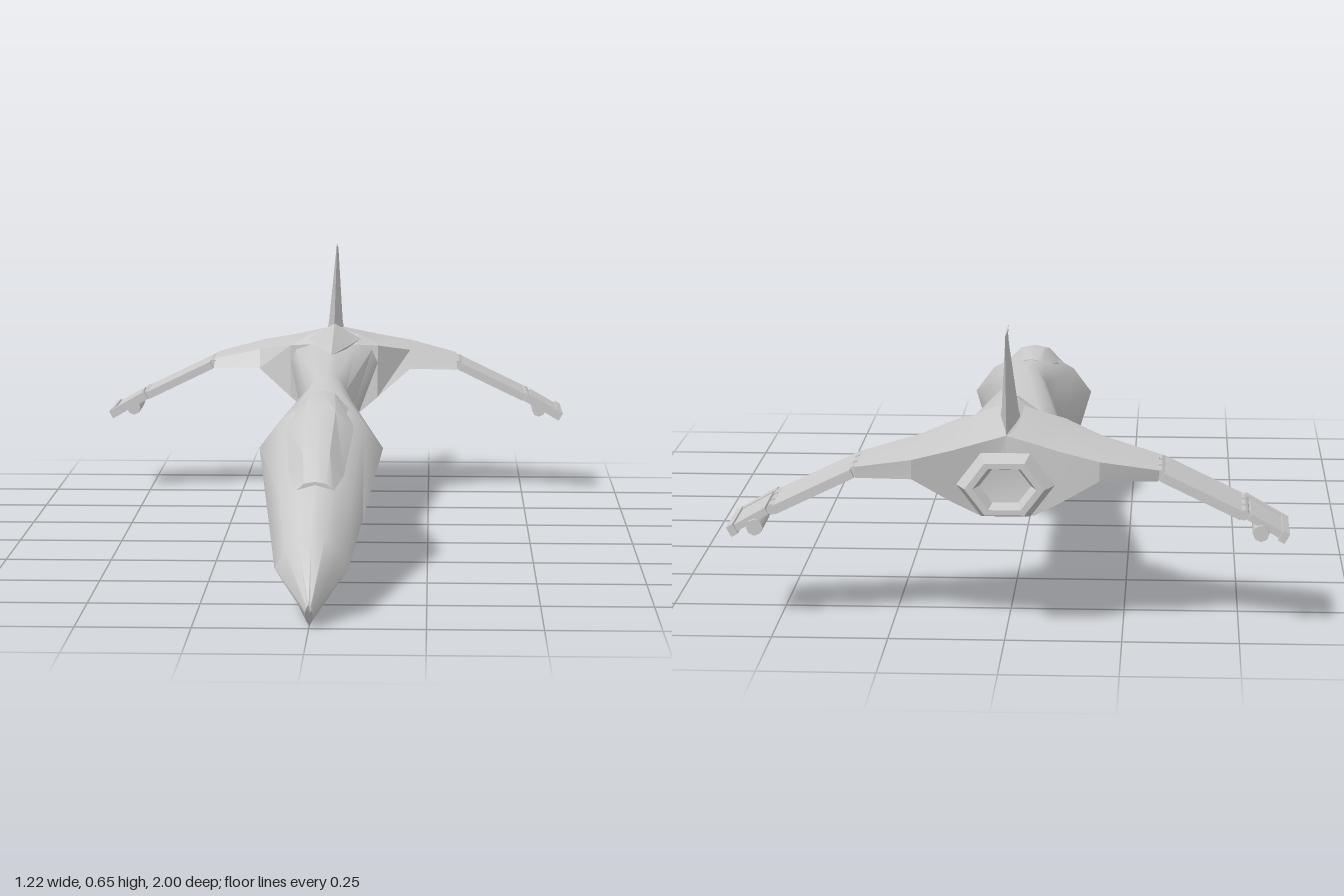
import * as THREE from 'three';
import { toCreasedNormals } from 'three/addons/utils/BufferGeometryUtils.js';

const material = new THREE.MeshStandardMaterial({ color: 0xcccccc, side: THREE.DoubleSide });

function addMesh(parent, name, geometry) {
  const mesh = new THREE.Mesh(geometry, material);
  mesh.name = name;
  parent.add(mesh);
  return mesh;
}

// Skin a list of equal-length closed rings of [x, y, z] points and cap both ends.
function loft(rings, crease) {
  const n = rings[0].length, last = rings.length - 1;
  const points = rings.flat(), index = [];
  for (let i = 0; i < last; i++) {
    for (let j = 0; j < n; j++) {
      const a = i * n + j, b = i * n + (j + 1) % n;
      index.push(a, b, a + n, b, b + n, a + n);
    }
  }
  for (const i of [0, last]) {
    const centre = [0, 1, 2].map(k => rings[i].reduce((s, p) => s + p[k], 0) / n);
    const c = points.push(centre) - 1;
    for (let j = 0; j < n; j++) {
      const a = i * n + j, b = i * n + (j + 1) % n;
      index.push(c, ...(i === 0 ? [b, a] : [a, b]));
    }
  }
  const geometry = new THREE.BufferGeometry();
  geometry.setAttribute('position', new THREE.Float32BufferAttribute(points.flat(), 3));
  geometry.setIndex(index);
  return toCreasedNormals(geometry, crease);
}

// Mirror half a cross-section (top centre to bottom centre) into a full ring at z.
function ring(z, half) {
  const right = half.map(([x, y, dz = 0]) => [x, y, z + dz]);
  const left = right.slice(1, -1).reverse().map(([x, y, zz]) => [-x, y, zz]);
  return [...right, ...left];
}

export function createModel() {
  const model = new THREE.Group();
  model.name = 'spacecraft';

  // Long fuselage, from the pointed nose to the waist and tail
  addMesh(model, 'fuselage', loft([
    ring(1.0, [[0, 0.055], [0.004, 0.05], [0.007, 0.042], [0.008, 0.03, -0.012], [0.005, 0.012, -0.025], [0, 0.003, -0.03]]),
    ring(0.86, [[0, 0.18], [0.03, 0.172], [0.058, 0.145], [0.08, 0.105], [0.042, 0.052], [0, 0.015]]),
    ring(0.62, [[0, 0.27], [0.042, 0.258], [0.08, 0.22], [0.106, 0.172], [0.066, 0.085], [0, 0.038]]),
    ring(0.28, [[0, 0.375], [0.055, 0.365], [0.1, 0.34], [0.145, 0.28], [0.1, 0.13], [0, 0.068]]),
    ring(0.07, [[0, 0.397], [0.035, 0.391], [0.067, 0.36], [0.092, 0.285], [0.066, 0.15], [0, 0.09]]),
    ring(-0.06, [[0, 0.41], [0.026, 0.405], [0.048, 0.37], [0.06, 0.305], [0.044, 0.22], [0, 0.18]]),
    ring(-0.64, [[0, 0.415], [0.06, 0.413], [0.1, 0.4], [0.115, 0.365], [0.085, 0.32], [0, 0.3]]),
  ], 1.0));

  // Faceted canopy set into the upper nose
  addMesh(model, 'canopy', loft([
    ring(0.66, [[0, 0.262], [0.025, 0.258], [0.042, 0.242], [0, 0.22]]),
    ring(0.57, [[0, 0.32], [0.03, 0.312], [0.062, 0.262], [0, 0.24]]),
    ring(0.35, [[0, 0.385], [0.036, 0.378], [0.078, 0.335], [0, 0.3]]),
    ring(0.22, [[0, 0.406], [0.03, 0.4], [0.064, 0.364], [0, 0.34]]),
    ring(0.12, [[0, 0.393], [0.015, 0.391], [0.03, 0.385], [0, 0.37]]),
  ], 0.6));

  // Spine rising from the rear deck into the fin
  addMesh(model, 'spine', loft([
    ring(-0.43, [[0, 0.416], [0.004, 0.412], [0, 0.4]]),
    ring(-0.67, [[0, 0.466], [0.07, 0.425], [0, 0.4]]),
    ring(-0.9, [[0, 0.436], [0.05, 0.41], [0, 0.4]]),
  ], 0.5));

  // Engine body and wing roots in one span
  // [x, trailing z, trailing top, mid top, leading z, leading top, leading bottom z, y, trailing bottom z, y]
  const stations = [
    [0, -0.92, 0.432, 0.458, -0.64, 0.413, -0.63, 0.225, -0.92, 0.255],
    [0.06, -0.935, 0.418, 0.437, -0.64, 0.413, -0.63, 0.228, -0.92, 0.258],
    [0.115, -0.95, 0.405, 0.413, -0.64, 0.411, -0.63, 0.275, -0.94, 0.29],
    [0.2, -0.97, 0.388, 0.393, -0.72, 0.39, -0.69, 0.343, -0.965, 0.345],
    [0.325, -0.92, 0.36, 0.361, -0.76, 0.36, -0.735, 0.335, -0.915, 0.335],
  ];
  const station = (s, [x, tz, ty, my, lz, ly, bz, by, cz, cy]) => [
    [s * x, ty, tz], [s * x, my, lz + (tz - lz) * 0.16], [s * x, ly, lz], [s * x, by, bz], [s * x, cy, cz],
  ].map(([px, y, z]) => [px, y, z]);
  addMesh(model, 'wingRoots', loft([
    ...stations.slice(1).reverse().map(s => station(-1, s)),
    ...stations.map(s => station(1, s)),
  ], 0.35));

  // Swept tail fin with a small forward hook at the tip
  const finRing = (y, front, back, w) => {
    const mid = front + (back - front) * 0.45;
    return [[0, y, front], [w, y, mid], [0, y, back], [-w, y, mid]];
  };
  addMesh(model, 'tailFin', loft([
    finRing(0.42, -0.62, -0.918, 0.025),
    finRing(0.465, -0.66, -0.927, 0.018),
    finRing(0.642, -0.85, -0.964, 0.003),
    finRing(0.655, -0.815, -0.968, 0.002),
  ], 0.3));

  // Six-sided nozzle with a recessed throat
  const profile = [[0.06, 0.89], [0.075, 0.925], [0.105, 0.955], [0.085, 1.0], [0.068, 1.0], [0.055, 0.965], [0, 0.96]]
    .map(([r, z]) => new THREE.Vector2(r, z));
  const nozzle = new THREE.LatheGeometry(profile, 6, Math.PI / 2).rotateX(-Math.PI / 2).scale(1, 0.76, 1);
  nozzle.deleteAttribute('normal');
  addMesh(model, 'engineNozzle', toCreasedNormals(nozzle, 0.3)).position.y = 0.333;

  // Hinged drooping wing panels on each side
  for (const side of [1, -1]) {
    const wing = new THREE.Group();
    wing.name = side > 0 ? 'leftWing' : 'rightWing';
    model.add(wing);

    const panel = (name, x, y, z, w, h, d, droop) => {
      const mesh = addMesh(wing, name, new THREE.BoxGeometry(w, h, d));
      mesh.position.set(side * x, y, z);
      mesh.rotation.z = -side * droop;
    };
    panel('middlePanel', 0.418, 0.302, -0.828, 0.19, 0.02, 0.174, 0.45);
    panel('tipPanel', 0.559, 0.234, -0.822, 0.09, 0.016, 0.165, 0.52);
    panel('tipLeadingEdge', 0.556, 0.235, -0.752, 0.108, 0.022, 0.026, 0.52);
    panel('tipRib', 0.594, 0.214, -0.83, 0.016, 0.024, 0.165, 0.52);

    // Hinge knuckles between the panels
    for (const [x, y] of [[0.328, 0.346], [0.508, 0.26]]) {
      for (let i = 0; i < 3; i++) {
        const knuckle = new THREE.CylinderGeometry(0.012, 0.012, 0.04, 8).rotateX(Math.PI / 2);
        addMesh(wing, 'hinge', knuckle).position.set(side * x, y, -0.772 - i * 0.056);
      }
    }

    // Slim pod under the tip
    const pod = new THREE.CylinderGeometry(0.018, 0.018, 0.14, 8).rotateX(Math.PI / 2);
    addMesh(wing, 'tipPod', toCreasedNormals(pod, 0.9)).position.set(side * 0.545, 0.222, -0.845);
  }

  return model;
}
